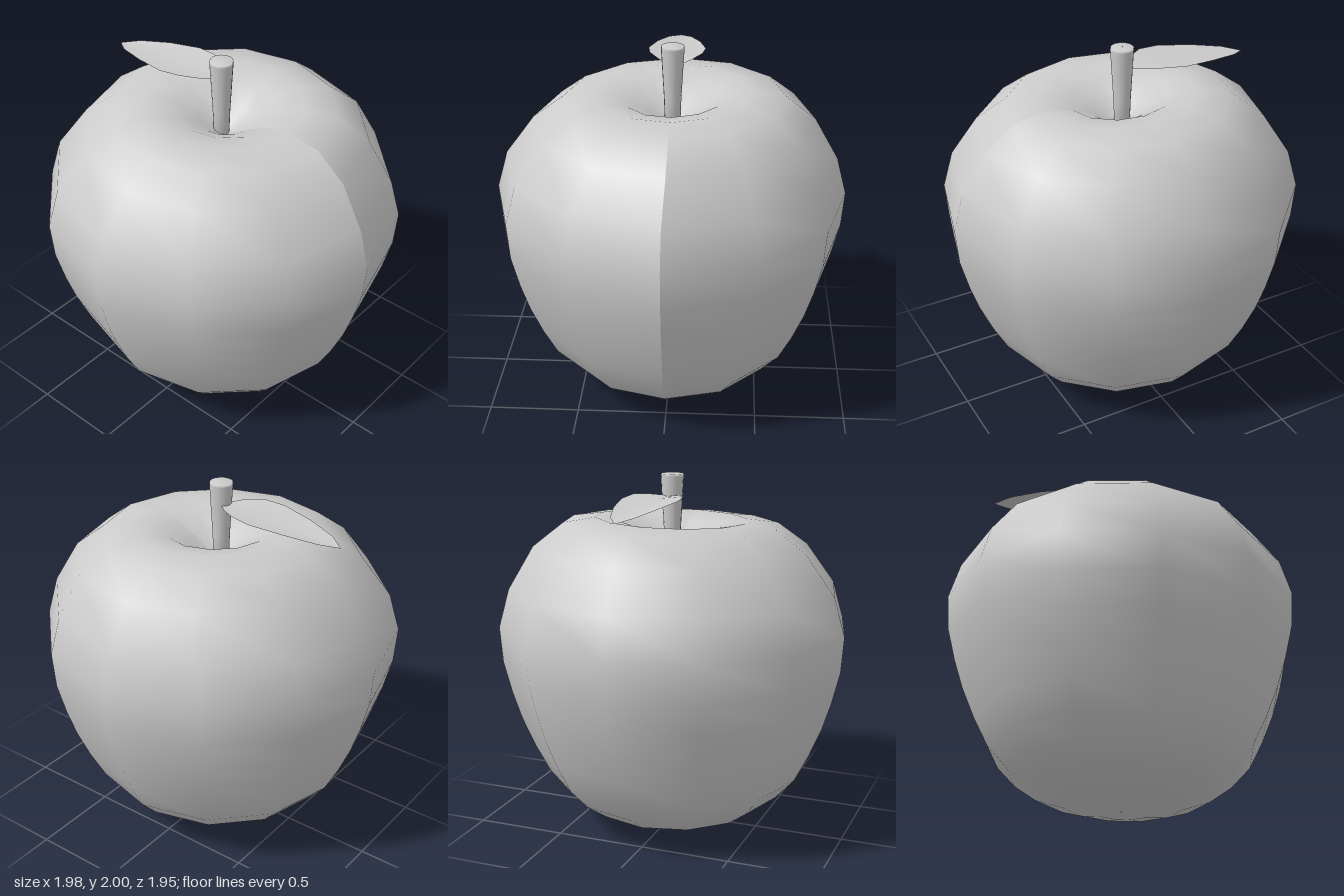
import * as THREE from 'three';

const grey = (side = THREE.FrontSide) => new THREE.MeshStandardMaterial({ color: 0xcccccc, side });
const lathe = (points, sides, start) =>
  new THREE.LatheGeometry(points.map(([r, y]) => new THREE.Vector2(r, y)), sides, start);

// Twelve-sided fruit: a lathe, slightly lopsided, with its seam on +x
function makeFruit() {
  const profile = [
    [0.001, 0], [0.175, 0.01], [0.335, 0.045], [0.495, 0.1], [0.62, 0.19], [0.73, 0.31],
    [0.81, 0.465], [0.88, 0.63], [0.93, 0.785], [0.975, 0.965], [0.99, 1.165], [0.93, 1.375],
    [0.78, 1.6], [0.61, 1.725], [0.43, 1.75], [0.28, 1.72], [0.15, 1.65], [0.001, 1.55],
  ];
  const geometry = lathe(profile, 12, Math.PI / 2);
  const p = geometry.attributes.position;
  for (let i = 0; i < p.count; i++) {
    const x = p.getX(i), y = p.getY(i), z = p.getZ(i);
    const r = Math.hypot(x, z);
    const top = THREE.MathUtils.smoothstep(y, 1.3, 1.7);
    // the crown leans back, and the +x side sits a little lower
    p.setXYZ(i,
      x + 0.012 * top,
      y + (r > 0.01 ? (-0.012 * x - 0.01 * z * top) / r * Math.min(1, r / 0.3) : 0),
      z * 0.985 - 0.02 * top);
  }
  geometry.computeVertexNormals();
  return new THREE.Mesh(geometry, grey());
}

// Stem widening upward, softly shaded over its end
function makeStem() {
  const geometry = lathe([[0.001, 1.54], [0.042, 1.54], [0.047, 1.7], [0.063, 1.985], [0.062, 1.998], [0.001, 2]], 16);
  const stem = new THREE.Mesh(geometry, grey());
  stem.position.set(-0.01, 0, -0.01);
  return stem;
}

// Thin leaf folded along its midrib: rows of [x, midrib height, half width]
function makeLeaf() {
  const rows = [
    [-0.03, 1.878, 0.015], [-0.1, 1.882, 0.09], [-0.19, 1.882, 0.145], [-0.31, 1.87, 0.16],
    [-0.5, 1.855, 0.122], [-0.67, 1.838, 0.065], [-0.76, 1.828, 0.001],
  ];
  const positions = [], index = [];
  rows.forEach(([x, y, w], i) => {
    for (const s of [-1, 0, 1]) positions.push(x, y + Math.abs(s) * w * 0.13, -0.02 + s * w);
    if (i === rows.length - 1) return;
    for (let j = 0; j < 2; j++) {
      const a = i * 3 + j, b = a + 3;
      index.push(a, b, a + 1, b, b + 1, a + 1);
    }
  });
  const geometry = new THREE.BufferGeometry();
  geometry.setAttribute('position', new THREE.Float32BufferAttribute(positions, 3));
  geometry.setIndex(index);
  geometry.computeVertexNormals();
  return new THREE.Mesh(geometry, grey(THREE.DoubleSide));
}

export function createModel() {
  const model = new THREE.Group();
  model.name = 'apple';
  const parts = { fruit: makeFruit(), stem: makeStem(), leaf: makeLeaf() };
  for (const [name, mesh] of Object.entries(parts)) {
    mesh.name = name;
    model.add(mesh);
  }
  return model;
}
